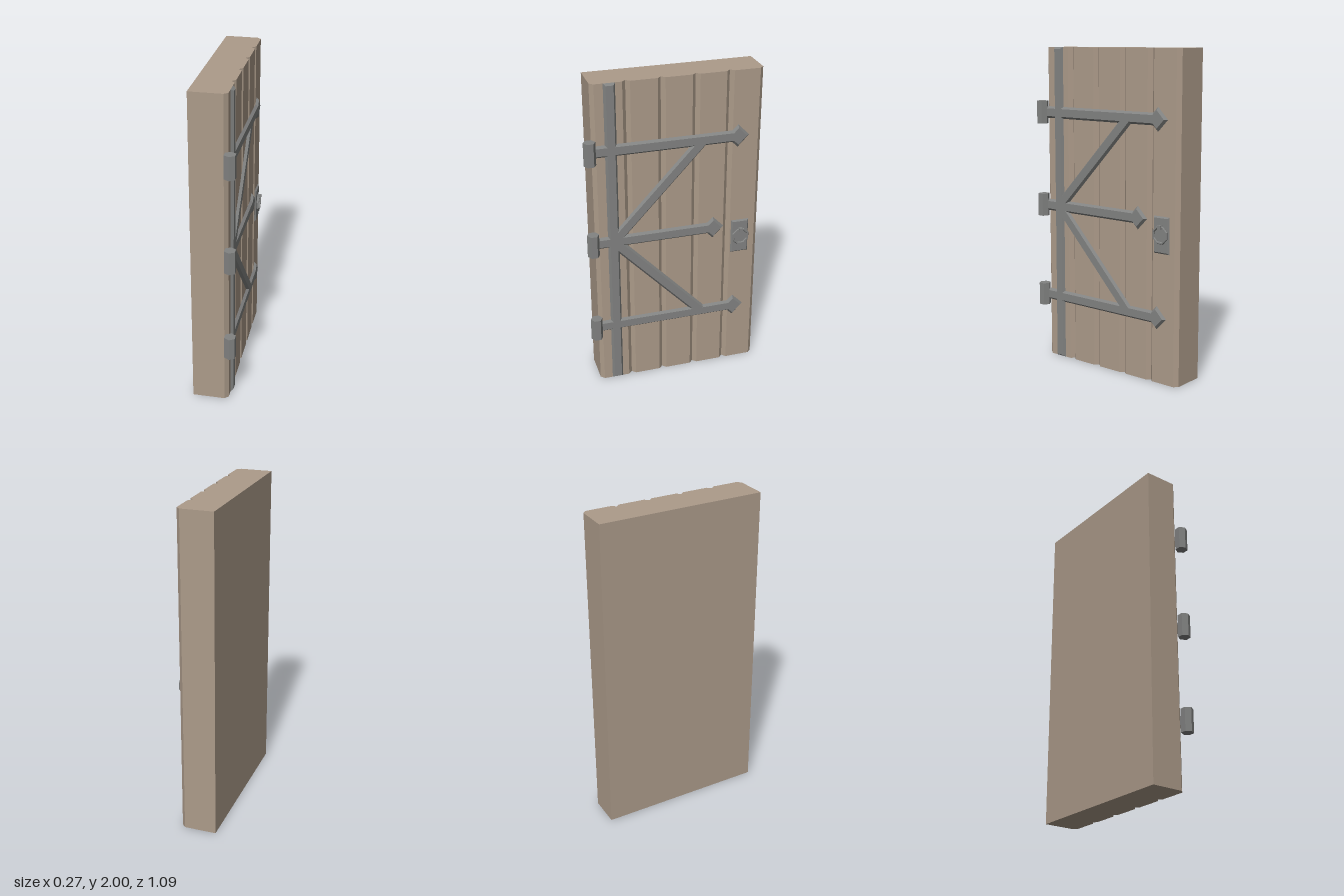
import * as THREE from 'three';

const wood = new THREE.MeshStandardMaterial({ color: 0xac9b8a });
wood.name = 'wood';
const iron = new THREE.MeshStandardMaterial({ color: 0x828382 });
iron.name = 'iron';

const FACE = 0.086; // x of the planked face

function flat(geometry) {
  const g = geometry.index ? geometry.toNonIndexed() : geometry;
  g.computeVertexNormals();
  return g;
}

// Move each edge of a counter-clockwise outline inwards by d (mitred corners)
function inset(pts, d) {
  const n = pts.length;
  return pts.map((p, i) => {
    const a = p.clone().sub(pts[(i + n - 1) % n]).normalize();
    const b = pts[(i + 1) % n].clone().sub(p).normalize();
    const na = new THREE.Vector2(-a.y, a.x), nb = new THREE.Vector2(-b.y, b.x);
    return na.clone().add(nb).multiplyScalar(d / (1 + na.dot(nb))).add(p);
  });
}

// Sloped-edge plate: outline in (u = -z, v = y), rising along +x from the face
function bevelPlate(outline, height, bevel) {
  const base = outline.map(([u, v]) => new THREE.Vector2(u, v));
  const top = inset(base, bevel);
  const pos = [];
  const put = (p, x) => pos.push(x, p.y, -p.x);
  const x0 = FACE, x1 = FACE + height;
  base.forEach((p, i) => {
    const j = (i + 1) % base.length;
    put(p, x0); put(base[j], x0); put(top[j], x1);
    put(p, x0); put(top[j], x1); put(top[i], x1);
  });
  for (const [a, b, c] of THREE.ShapeUtils.triangulateShape(base, [])) {
    put(top[a], x1); put(top[b], x1); put(top[c], x1);
    put(base[c], x0); put(base[b], x0); put(base[a], x0);
  }
  const g = new THREE.BufferGeometry();
  g.setAttribute('position', new THREE.Float32BufferAttribute(pos, 3));
  return flat(g);
}

// Outline of a straight bar between two points
function bar(u0, v0, u1, v1, half) {
  const d = new THREE.Vector2(u1 - u0, v1 - v0).setLength(half);
  return [[u0 + d.y, v0 - d.x], [u1 + d.y, v1 - d.x], [u1 - d.y, v1 + d.x], [u0 - d.y, v0 + d.x]];
}

// Outline of a strap with an arrowhead
function arrowStrap(y, tip) {
  const w = 0.037, h = 0.072, neck = tip - 0.105, wide = tip - 0.07;
  return [[-0.49, y - w], [neck, y - w], [wide, y - h], [tip, y], [wide, y + h], [neck, y + w], [-0.49, y + w]];
}

export function createModel() {
  const group = new THREE.Group();
  const add = (name, geometry, material) => {
    const mesh = new THREE.Mesh(geometry, material);
    mesh.name = name;
    group.add(mesh);
    return mesh;
  };

  // Door slab: plan profile with V grooves and chamfered edges
  const c = 0.023;
  const plan = [[-0.136, -0.488], [FACE - c, -0.488], [FACE, -0.488 + c]];
  for (const u of [-0.279, -0.072, 0.136, 0.343]) {
    plan.push([FACE, u - c], [FACE - c, u], [FACE, u + c]);
  }
  plan.push([FACE, 0.549 - c], [FACE - c, 0.549], [-0.136, 0.549]);
  const slab = new THREE.ExtrudeGeometry(
    new THREE.Shape(plan.map(([x, u]) => new THREE.Vector2(x, u))),
    { depth: 2, bevelEnabled: false });
  slab.rotateX(-Math.PI / 2);
  add('doorSlab', flat(slab), wood);

  // Arrow straps with hexagonal hinge barrels
  for (const [name, y, tip] of [['top', 1.594, 0.468], ['middle', 1.0, 0.322], ['bottom', 0.408, 0.468]]) {
    add(name + 'Strap', bevelPlate(arrowStrap(y, tip), 0.0165, 0.013), iron);
    const barrel = add(name + 'Hinge', flat(new THREE.CylinderGeometry(0.037, 0.037, 0.143, 6)), iron);
    barrel.position.set(0.102, y, 0.507);
  }

  // Upright bar and the two diagonal braces
  add('uprightBar', bevelPlate(bar(-0.378, 0, -0.378, 2, 0.035), 0.0165, 0.012), iron);
  add('upperBrace', bevelPlate(bar(-0.378, 1.0, 0.182, 1.594, 0.036), 0.0165, 0.012), iron);
  add('lowerBrace', bevelPlate(bar(-0.378, 1.0, 0.182, 0.408, 0.036), 0.0165, 0.012), iron);

  // Handle: back plate, staple and ring
  add('handlePlate', bevelPlate(bar(0.43, 0.804, 0.43, 1.028, 0.057), 0.01, 0.009), iron);
  const staple = add('handleStaple', flat(new THREE.BoxGeometry(0.034, 0.022, 0.022)), iron);
  staple.position.set(0.103, 0.966, -0.431);
  const ringShape = new THREE.TorusGeometry(0.05, 0.008, 6, 8);
  ringShape.rotateZ(Math.PI / 8);
  ringShape.rotateY(Math.PI / 2);
  const ring = add('handleRing', flat(ringShape), iron);
  ring.position.set(0.105, 0.919, -0.431);

  return group;
}
